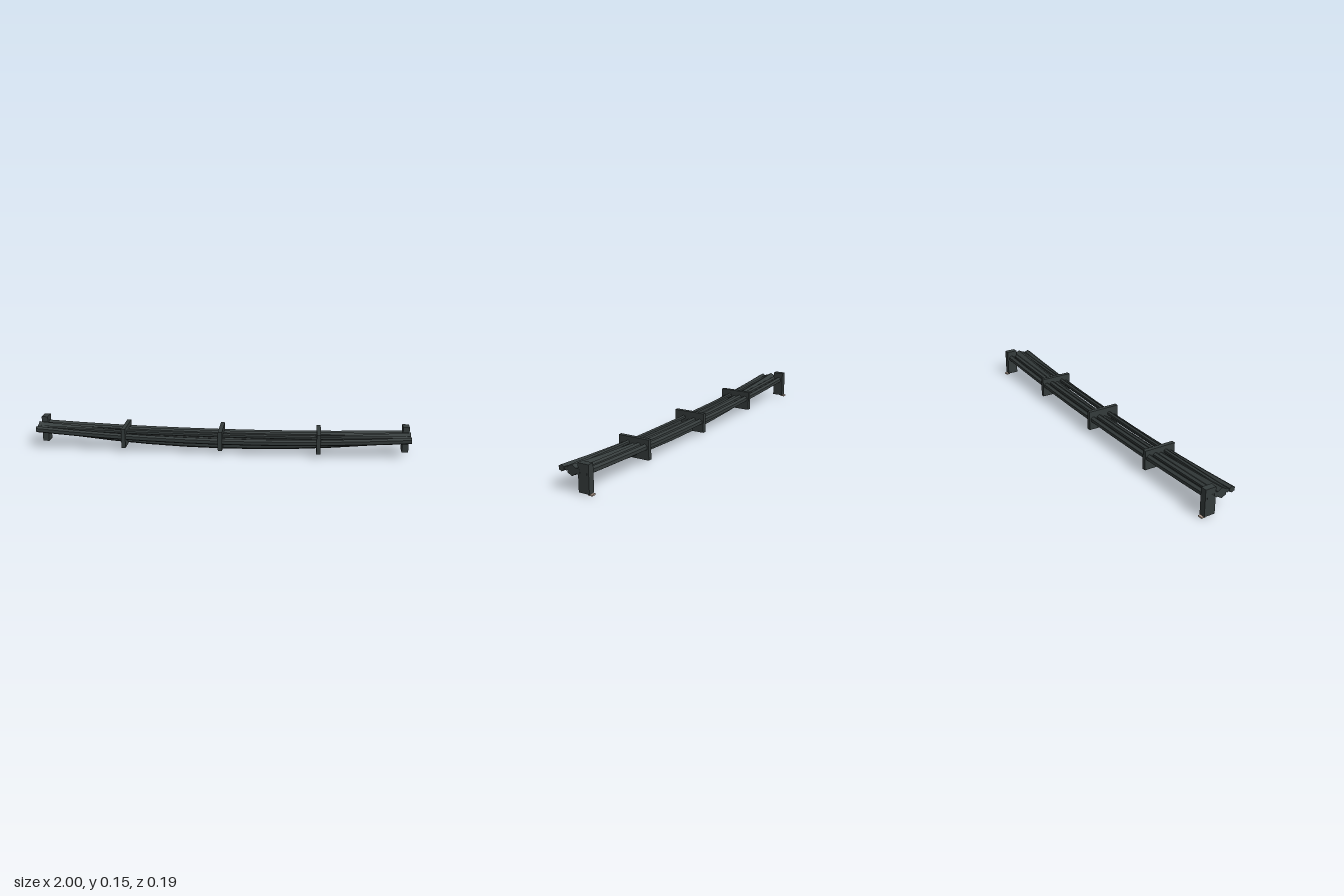
import * as THREE from 'three';

export function createModel() {
  const model = new THREE.Group();
  const dark = new THREE.MeshStandardMaterial({ color: 0x343b3b });
  dark.name = 'dark rubber grey';
  const tan = new THREE.MeshStandardMaterial({ color: 0xb5a193 });
  tan.name = 'pale tan';

  // Six-sided cable along x, sagging as a parabola from its end height to its middle height
  function cable(name, z, radius, endY, midY) {
    const tube = new THREE.CylinderGeometry(radius, radius, 2, 6, 10);
    tube.rotateY(Math.PI / 6).rotateZ(Math.PI / 2);
    const p = tube.attributes.position;
    for (let i = 0; i < p.count; i++) {
      const x = p.getX(i);
      p.setY(i, p.getY(i) + midY + (endY - midY) * x * x);
    }
    const geometry = tube.toNonIndexed();
    geometry.computeVertexNormals();
    const mesh = new THREE.Mesh(geometry, dark);
    mesh.name = name;
    mesh.position.z = z;
    model.add(mesh);
  }

  // Box given by its centre x, width and its y and z ranges
  function block(name, material, x, width, y0, y1, z0, z1) {
    const mesh = new THREE.Mesh(new THREE.BoxGeometry(width, y1 - y0, z1 - z0), material);
    mesh.name = name;
    mesh.position.set(x, (y0 + y1) / 2, (z0 + z1) / 2);
    model.add(mesh);
  }

  // Cable bundle, front to back
  cable('frontCable', 0.07, 0.017, 0.105, 0.067);
  cable('thinCable', 0.042, 0.011, 0.108, 0.093);
  cable('upperMainCable', 0.012, 0.027, 0.104, 0.059);
  cable('lowerMainCable', 0.012, 0.027, 0.105, 0.036);
  cable('innerRearCable', -0.02, 0.015, 0.106, 0.085);
  cable('rearCable', -0.057, 0.017, 0.105, 0.08);

  // Spacer plates holding the cables together
  for (const x of [-0.52, 0, 0.52]) block('spacerPlate', dark, x, 0.022, 0.023, 0.128, -0.08, 0.096);

  // End brackets with small tan feet
  for (const side of [-1, 1]) {
    block('endBracket', dark, side * 0.982, 0.034, 0.007, 0.147, -0.082, -0.023);
    block('bracketFoot', tan, side * 0.982, 0.024, 0, 0.007, -0.094, -0.071);
  }
  return model;
}
